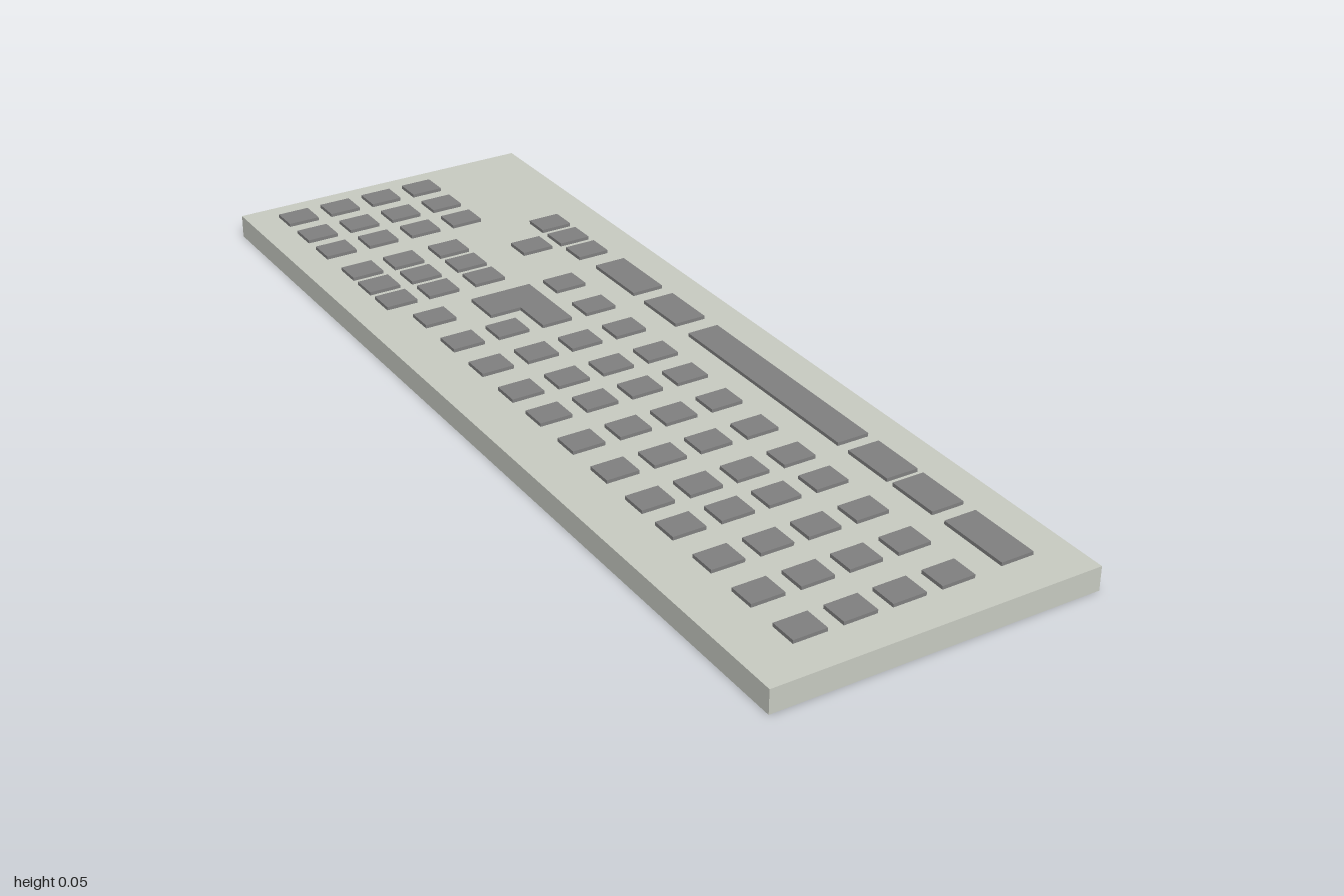
import * as THREE from 'three';

const BASE_TOP = 0.048;
const KEY_TOP = 0.055;

export function createModel() {
  const model = new THREE.Group();
  model.name = 'keyboard';
  const caseMaterial = new THREE.MeshStandardMaterial({ color: 0xc8cbc2 });
  const keyMaterial = new THREE.MeshStandardMaterial({ color: 0x808080 });

  // Flat slab case
  const body = new THREE.Mesh(new THREE.BoxGeometry(0.66, BASE_TOP, 2), caseMaterial);
  body.name = 'case';
  body.position.y = BASE_TOP / 2;
  model.add(body);

  const section = (name) => {
    const group = new THREE.Group();
    group.name = name;
    model.add(group);
    return group;
  };
  const height = KEY_TOP - BASE_TOP;
  const addKey = (group, name, x, z, width = 0.067, length = 0.056) => {
    const key = new THREE.Mesh(new THREE.BoxGeometry(width, height, length), keyMaterial);
    key.name = name;
    key.position.set(x, BASE_TOP + height / 2, z);
    group.add(key);
  };
  const addGrid = (group, name, xs, zs) => {
    for (const z of zs) for (const x of xs) addKey(group, name, x, z);
  };

  // Main typing block
  const main = section('mainKeys');
  addGrid(main, 'mainKey', [-0.198, -0.1, -0.003, 0.096],
    [-0.125, -0.009, 0.095, 0.212, 0.328, 0.444, 0.542, 0.659, 0.775, 0.892]);
  addGrid(main, 'mainKey', [-0.198, 0.096], [-0.357, -0.24]);
  addKey(main, 'mainKey', -0.1, -0.24);

  // L-shaped enter key, outlined in x and -z and laid flat
  const outline = new THREE.Shape([
    [-0.102, 0.384], [-0.102, 0.302], [-0.036, 0.302],
    [-0.036, 0.212], [0.03, 0.212], [0.03, 0.384],
  ].map(([x, y]) => new THREE.Vector2(x, y)));
  const enterGeometry = new THREE.ExtrudeGeometry(outline, { depth: height, bevelEnabled: false });
  enterGeometry.rotateX(-Math.PI / 2);
  const enter = new THREE.Mesh(enterGeometry, keyMaterial);
  enter.name = 'enterKey';
  enter.position.y = BASE_TOP;
  main.add(enter);

  // Space bar and the wide keys in line with it, as [name, z start, z end]
  const bottom = section('bottomRow');
  [
    ['wideKey', -0.388, -0.24], ['wideKey', -0.2, -0.083], ['spaceBar', 0.457, -0.037],
    ['wideKey', 0.488, 0.602], ['wideKey', 0.618, 0.73], ['wideKey', 0.763, 0.915],
  ].forEach(([name, a, b]) => addKey(bottom, name, 0.222, (a + b) / 2, 0.067, Math.abs(b - a)));

  // Navigation block and arrow cluster
  const navRows = [-0.62, -0.543, -0.466];
  addGrid(section('navigationKeys'), 'navigationKey', [-0.228, -0.134, -0.03], navRows);
  const arrows = section('arrowKeys');
  addGrid(arrows, 'arrowKey', [0.213], navRows);
  addKey(arrows, 'arrowKey', 0.125, -0.543);

  // Number pad
  addGrid(section('numberPad'), 'numberKey', [-0.231, -0.134, -0.036, 0.062], [-0.924, -0.829, -0.738]);

  return model;
}
